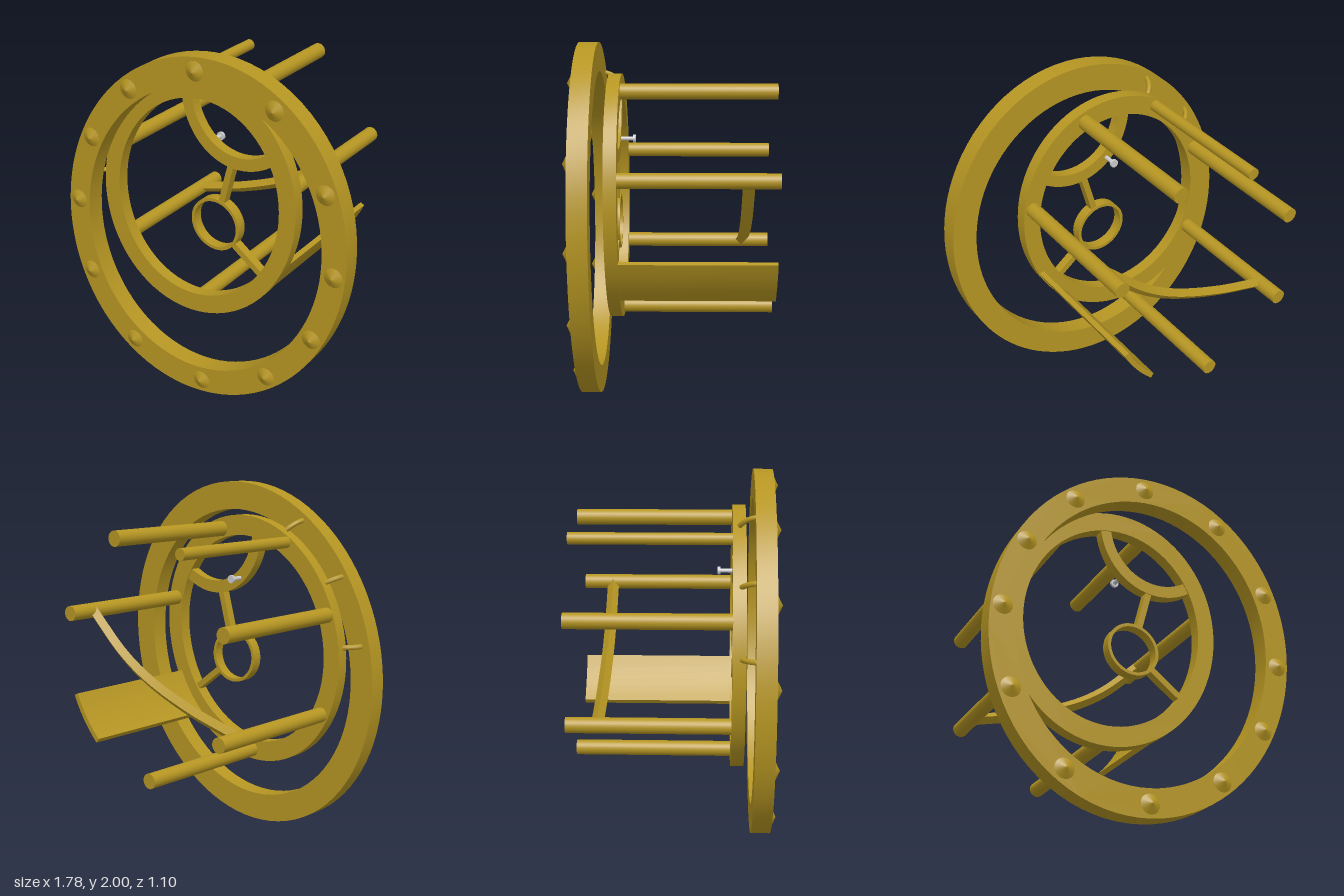
import * as THREE from 'three';
import { toCreasedNormals } from 'three/addons/utils/BufferGeometryUtils.js';

const brass = new THREE.MeshStandardMaterial({ color: 0xb59522 });
const steel = new THREE.MeshStandardMaterial({ color: 0xcccccc });
const rad = THREE.MathUtils.degToRad;

// Every oval is a scaled copy of one tilted ellipse, given by its spread in x, y and xy.
const SXX = 0.792, SYY = 1, SXY = 0.09, DET = SXX * SYY - SXY * SXY;
function ovalPoint(cx, cy, scale, angle) {
  const c = Math.cos(angle), s = Math.sin(angle);
  const r = scale / Math.sqrt((SYY * c * c - 2 * SXY * c * s + SXX * s * s) / DET);
  return new THREE.Vector2(cx + r * c, cy + r * s);
}
function ovalArc(cx, cy, scale, a0, a1, n) {
  return Array.from({ length: n + 1 }, (_, i) =>
    ovalPoint(cx, cy, scale, rad(a0 + (a1 - a0) * i / n)));
}

export function createModel() {
  const model = new THREE.Group();

  function add(name, geometry, x = 0, y = 0, z = 0, material = brass) {
    const mesh = new THREE.Mesh(geometry, material);
    mesh.name = name;
    mesh.position.set(x, y, z);
    model.add(mesh);
    return mesh;
  }
  function extrude(name, shape, z0, z1) {
    const geo = new THREE.ExtrudeGeometry(shape, { depth: z1 - z0, bevelEnabled: false, curveSegments: 48 });
    return add(name, toCreasedNormals(geo, 0.5), 0, 0, z0);
  }
  function ovalRing(name, cx, cy, outer, inner, z0, z1) {
    const shape = new THREE.Shape(ovalArc(cx, cy, outer, 0, 360, 96).slice(0, -1));
    shape.holes.push(new THREE.Path(ovalArc(cx, cy, inner, 0, 360, 96).slice(0, -1)));
    return extrude(name, shape, z0, z1);
  }
  function ovalSector(name, cx, cy, outer, inner, a0, a1, n, z0, z1) {
    const shape = new THREE.Shape([
      ...ovalArc(cx, cy, outer, a0, a1, n),
      ...ovalArc(cx, cy, inner, a1, a0, n)
    ]);
    return extrude(name, shape, z0, z1);
  }
  function rodAlongZ(name, x, y, r, z0, z1, material = brass) {
    const geo = new THREE.CylinderGeometry(r, r, z1 - z0, 24).rotateX(Math.PI / 2);
    return add(name, geo, x, y, (z0 + z1) / 2, material);
  }

  // Large front ring with twelve cone studs
  ovalRing('outerRing', 0, 1, 1, 0.842, 0.42, 0.525);
  for (let i = 0; i < 12; i++) {
    const p = ovalPoint(0, 1, 0.925, i * Math.PI / 6);
    add('stud' + (i + 1), new THREE.ConeGeometry(0.055, 0.027, 24).rotateX(Math.PI / 2), p.x, p.y, 0.538);
  }

  // Offset inner ring with the crescent across its top
  const cx = -0.12, cy = 1.115;
  ovalRing('innerRing', cx, cy, 0.705, 0.592, 0.305, 0.375);
  ovalSector('crescent', 0.185, 1.79, 0.43, 0.36, 185, 301, 32, 0.31, 0.37);

  // Small round hub
  const hub = new THREE.Shape().absarc(0, 1, 0.153, 0, Math.PI * 2, false);
  hub.holes.push(new THREE.Path().absarc(0, 1, 0.135, 0, Math.PI * 2, true));
  extrude('hubRing', hub, 0.31, 0.37);

  // Spokes joining the hub to the crescent and the ring
  [[0.04, 1.14, 0.105, 1.38], [0.115, 0.905, 0.31, 0.755]].forEach(([x0, y0, x1, y1], i) => {
    const geo = new THREE.BoxGeometry(Math.hypot(x1 - x0, y1 - y0), 0.036, 0.05);
    const spoke = add('spoke' + (i + 1), geo, (x0 + x1) / 2, (y0 + y1) / 2, 0.34);
    spoke.rotation.z = Math.atan2(y1 - y0, x1 - x0);
  });

  // Bent links between the two rings
  [[-0.81, 1.14, -0.7, 1.13], [-0.675, 1.51, -0.6, 1.47], [-0.4, 1.8, -0.35, 1.75]].forEach(([x0, y0, x1, y1], i) => {
    const curve = new THREE.QuadraticBezierCurve3(
      new THREE.Vector3(x0, y0, 0.43),
      new THREE.Vector3(x0 + (x1 - x0) * 0.15, y0 + (y1 - y0) * 0.15, 0.37),
      new THREE.Vector3(x1, y1, 0.34));
    add('link' + (i + 1), new THREE.TubeGeometry(curve, 12, 0.014, 10));
  });

  // Rods running backwards from the inner ring
  [[0.09, 1.735, 0.043], [0.445, 1.303, 0.042], [-0.375, 1.685, 0.032],
    [-0.66, 1.31, 0.042], [-0.633, 0.752, 0.042], [-0.15, 0.467, 0.042]].forEach(([x, y, r], i) => {
    rodAlongZ('rod' + (i + 1), x, y, r, -0.553, 0.31);
  });

  // Curved plate running backwards from the lower side of the ring
  ovalSector('blade', cx, cy, 0.7, 0.668, -53.5, -26, 6, -0.548, 0.31);

  // Diamond-section cross bar between two rods
  const barPath = new THREE.CatmullRomCurve3([
    [-0.61, 0.76], [-0.3, 0.845], [0, 0.965], [0.2, 1.09], [0.43, 1.3]
  ].map(([x, y]) => new THREE.Vector3(x, y, -0.388)));
  add('crossBar', toCreasedNormals(new THREE.TubeGeometry(barPath, 32, 0.033, 4), 0.6));

  // Small screw behind the crescent
  rodAlongZ('screwShaft', -0.045, 1.46, 0.012, 0.235, 0.32, steel);
  rodAlongZ('screwHead', -0.045, 1.46, 0.023, 0.228, 0.243, steel);

  return model;
}
